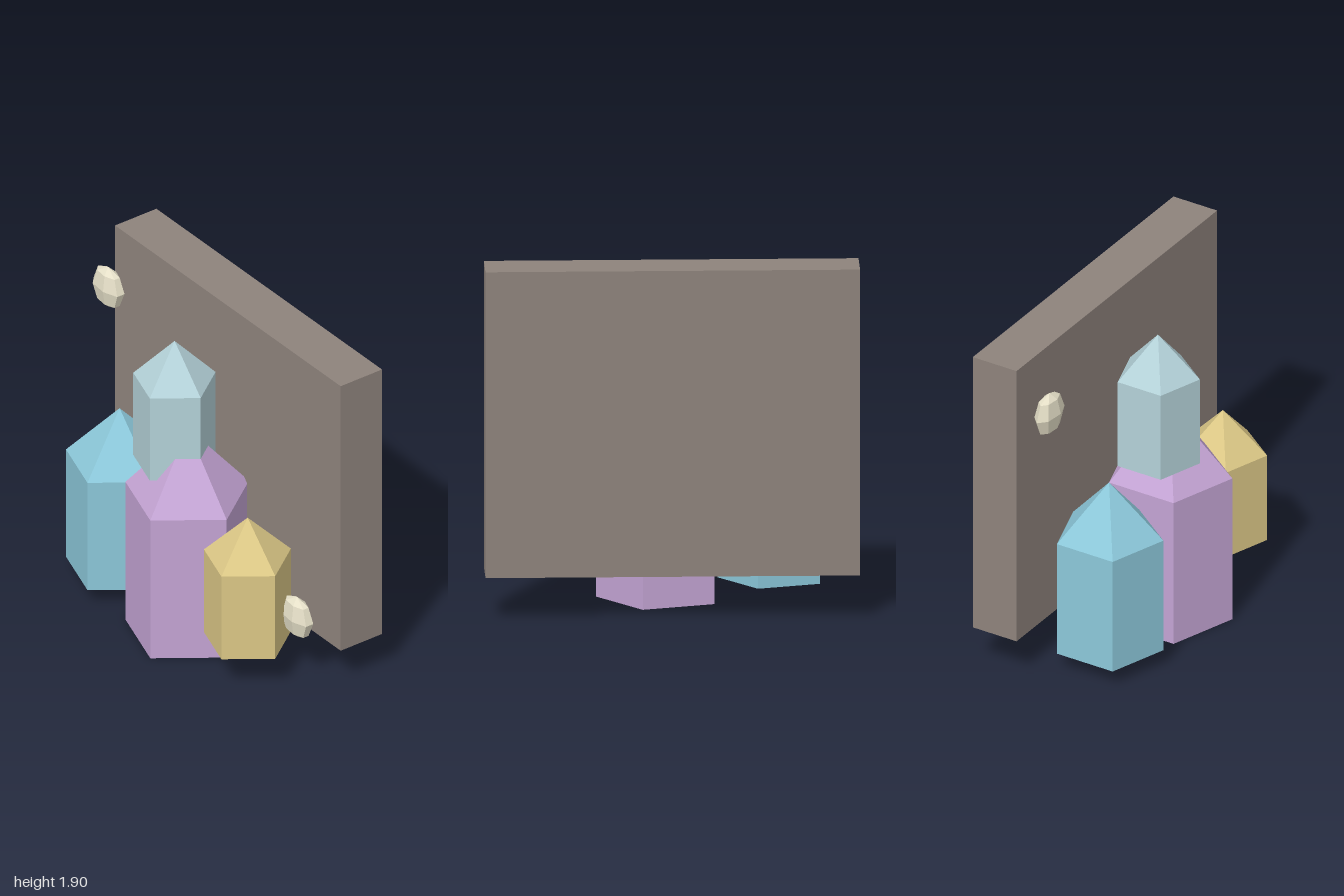
import * as THREE from 'three';

const material = (color) => new THREE.MeshStandardMaterial({ color, flatShading: true });

export function createModel() {
  const group = new THREE.Group();
  const add = (name, geometry, color, x, y, z) => {
    const mesh = new THREE.Mesh(geometry, material(color));
    mesh.name = name;
    mesh.position.set(x, y, z);
    group.add(mesh);
    return mesh;
  };

  // Flat stone slab behind everything
  add('backSlab', new THREE.BoxGeometry(1.99, 1.665, 0.275), 0x8e837c, 0.005, 1.0675, -0.3175);

  // Five-sided crystal: closed prism with a pointed tip, one corner toward +x
  const crystal = (name, color, x, radius, bottom, shoulder, tip) => {
    const profile = [
      [0, 0], [radius, 0], [radius, shoulder - bottom], [0, tip - bottom],
    ].map(([r, y]) => new THREE.Vector2(r, y));
    add(name, new THREE.LatheGeometry(profile, 5, Math.PI / 2), color, x, bottom, 0.122);
  };
  crystal('purpleCrystal', 0xc4a4d4, 0.05, 0.345, 0, 0.867, 1.27);
  crystal('blueCrystal', 0x8cc8da, -0.549, 0.298, 0.1, 0.775, 1.09);
  crystal('paleCrystal', 0xb4d2d9, -0.064, 0.23, 1.0, 1.517, 1.76);
  crystal('yellowCrystal', 0xdcc886, 0.58, 0.243, 0.21, 0.73, 0.975);

  // Flattened low-poly pebbles
  const pebble = new THREE.SphereGeometry(0.125, 7, 4);
  for (const [name, x, y] of [['upperPebble', -0.875, 1.625], ['lowerPebble', 0.79, 0.395]]) {
    add(name, pebble, 0xe6e0c8, x, y, -0.047).scale.z = 0.45;
  }

  return group;
}
